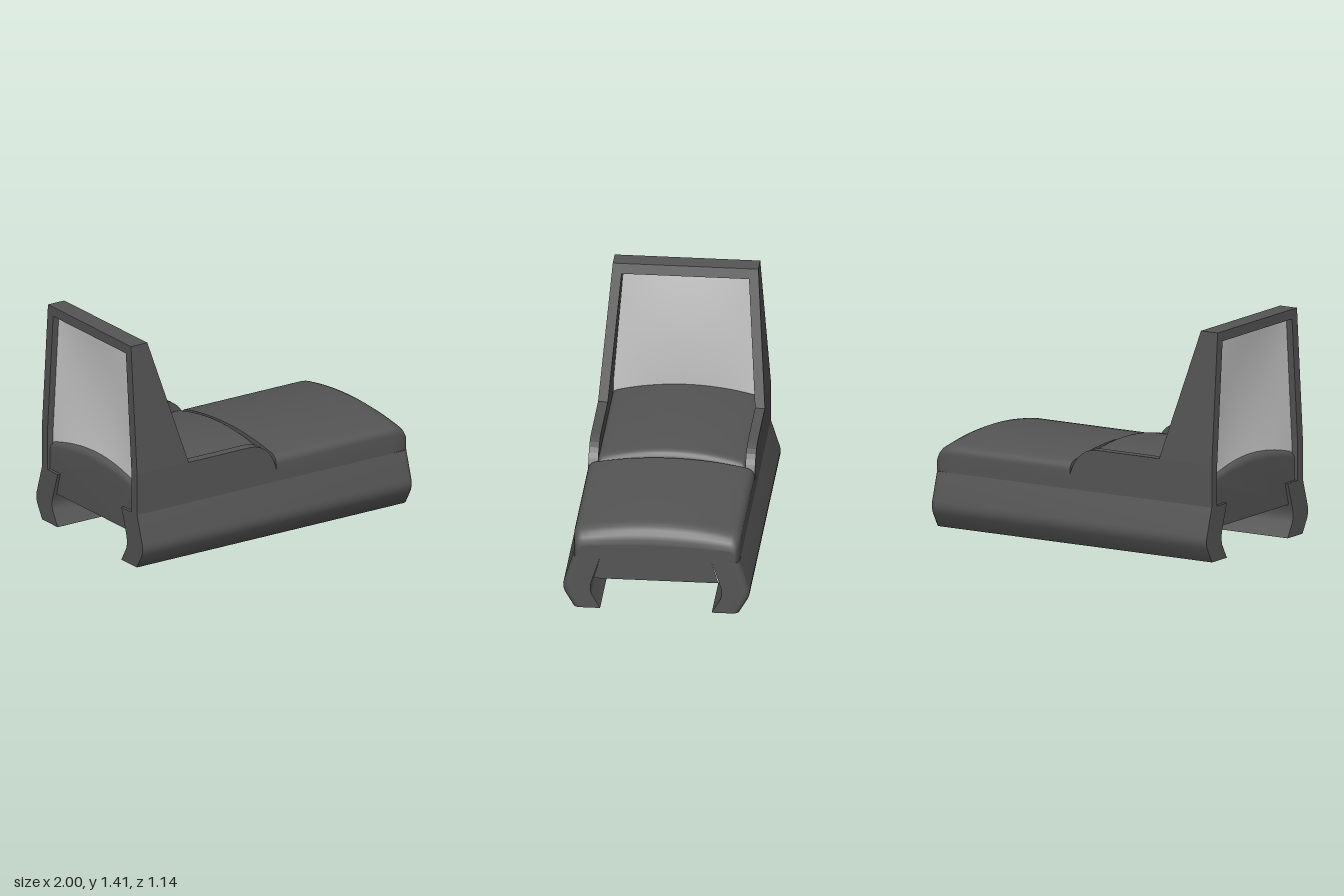
import * as THREE from 'three';
import { toCreasedNormals } from 'three/addons/utils/BufferGeometryUtils.js';

const dark = new THREE.MeshStandardMaterial({ color: 0x555555, side: THREE.DoubleSide });
const pale = new THREE.MeshStandardMaterial({ color: 0xcccccc, side: THREE.DoubleSide });

// Skin cross-sections (lists of [x, y, z]) and close the ends with flat caps
function loft(sections, closed, caps) {
  const pos = [];
  const tri = (...pts) => pts.forEach((p) => pos.push(...p));
  for (let i = 0; i + 1 < sections.length; i++) {
    const a = sections[i], b = sections[i + 1], n = a.length;
    for (let j = 0; j < (closed ? n : n - 1); j++) {
      const k = (j + 1) % n;
      tri(a[j], b[j], b[k]);
      tri(a[j], b[k], a[k]);
    }
  }
  for (const cap of caps) {
    const outline = cap.map((p) => new THREE.Vector2(p[2], p[1]));
    for (const f of THREE.ShapeUtils.triangulateShape(outline, [])) tri(...f.map((i) => cap[i]));
  }
  const g = new THREE.BufferGeometry();
  g.setAttribute('position', new THREE.Float32BufferAttribute(pos, 3));
  return toCreasedNormals(g, 0.6);
}

// Arched cushion outline from one lower edge over the top to the other
function arch(halfWidth, shoulder, crown, radius) {
  const right = [[0.34, halfWidth]];
  for (let i = 0; i <= 5; i++) {
    const a = (i / 5) * 1.3;
    right.push([shoulder - radius + radius * Math.sin(a), halfWidth - radius + radius * Math.cos(a)]);
  }
  const [y0, z0] = right[right.length - 1];
  for (let i = 1; i <= 8; i++) {
    const z = z0 * (1 - i / 8);
    right.push([crown - (crown - y0) * (z / z0) ** 2, z]);
  }
  return [...right, ...right.slice(0, -1).reverse().map(([y, z]) => [y, -z])];
}

// Place an outline at x, lowered by drop and narrowed by inset
const place = (outline, x, drop, inset, crown, halfWidth) => outline.map(([y, z]) => [
  x, 0.34 + (y - 0.34) * (1 - drop / (crown - 0.34)), z * (1 - inset / halfWidth)]);

const skirt = (s, x) => [...s, [x, 0.34, -0.34], [x, 0.2, -0.38], [x, 0.2, 0.38], [x, 0.34, 0.34]];

export function createModel() {
  const model = new THREE.Group();
  const add = (name, geometry, material = dark) => {
    const mesh = new THREE.Mesh(geometry, material);
    mesh.name = name;
    model.add(mesh);
    return mesh;
  };
  const steps = [0, 1, 2, 3, 4, 5, 6].map((i) => (i / 6) * Math.PI / 2);

  // Front cushion with rounded end and closing wall
  const hoodLine = arch(0.508, 0.51, 0.555, 0.06);
  const hood = [place(hoodLine, 0.025, 0, 0, 0.555, 0.508)];
  for (const a of steps) {
    hood.push(place(hoodLine, 0.88 + 0.12 * Math.sin(a), 0.12 * (1 - Math.cos(a)),
      0.03 * (1 - Math.cos(a)), 0.555, 0.508));
  }
  add('frontCushion', loft(hood, false, [hood[0], skirt(hood[hood.length - 1], 1)]));

  // Rear cushion between the side walls, rounded at both ends
  const seatLine = arch(0.452, 0.53, 0.585, 0.04);
  const seat = [];
  for (const a of [...steps].reverse()) {
    seat.push(place(seatLine, -0.93 - 0.05 * Math.sin(a), 0.05 * (1 - Math.cos(a)), 0, 0.585, 0.452));
  }
  for (const a of steps) {
    seat.push(place(seatLine, -0.06 + 0.06 * Math.sin(a), 0.06 * (1 - Math.cos(a)), 0, 0.585, 0.452));
  }
  add('rearCushion', loft(seat, false, [skirt(seat[0], -0.98), seat[seat.length - 1]]));

  // Tall back frame: lower walls, leaning posts and top bar
  const lower = new THREE.Shape();
  lower.moveTo(-1, 0.34);
  lower.lineTo(0.025, 0.34);
  lower.lineTo(0.025, 0.42);
  lower.bezierCurveTo(0.01, 0.5, -0.05, 0.6, -0.17, 0.6);
  lower.lineTo(-1, 0.6);
  const post = new THREE.Shape([[-1, 0.6], [-0.62, 0.6], [-0.88, 1.41], [-1, 1.41]]
    .map((p) => new THREE.Vector2(...p)));
  const options = { depth: 0.06, bevelEnabled: false, curveSegments: 8 };

  // Side rail outline as [y, z, 1 if outer]
  const rail = [[0, 0.34, 0], [0, 0.505, 1], [0.09, 0.558, 1], [0.115, 0.566, 1], [0.14, 0.568, 1],
    [0.165, 0.563, 1], [0.34, 0.508, 1], [0.34, 0.34, 0], [0.18, 0.392, 0], [0.15, 0.399, 0],
    [0.12, 0.4, 0], [0.09, 0.392, 0]];

  for (const side of [1, -1]) {
    const label = side > 0 ? 'Near' : 'Far';
    const wall = new THREE.ExtrudeGeometry(lower, options);
    wall.translate(0, 0, 0.448).scale(1, 1, side);
    const upright = new THREE.ExtrudeGeometry(post, options);
    upright.translate(0, 0, 0.448);
    const p = upright.attributes.position;
    for (let i = 0; i < p.count; i++) p.setZ(i, p.getZ(i) - (p.getY(i) - 0.6) * 0.08);
    upright.scale(1, 1, side);
    for (const g of [wall, upright]) {
      // Mirroring reverses the corner order, so restore it
      if (side < 0) {
        const q = g.attributes.position;
        for (let i = 0; i < q.count; i += 3) {
          const a = new THREE.Vector3().fromBufferAttribute(q, i);
          const b = new THREE.Vector3().fromBufferAttribute(q, i + 2);
          q.setXYZ(i, b.x, b.y, b.z);
          q.setXYZ(i + 2, a.x, a.y, a.z);
        }
      }
      g.computeVertexNormals();
    }
    add('sideWall' + label, wall);
    add('backPost' + label, upright);

    const at = (x, inset) => rail.map(([y, z, outer]) => [x, y, side * (z - outer * inset)]);
    const sections = [at(-1, 0)];
    for (const a of steps) sections.push(at(0.96 + 0.04 * Math.sin(a), 0.04 * (1 - Math.cos(a))));
    add('sideRail' + label, loft(sections, true, [sections[0], sections[sections.length - 1]]));

    // Bracket under the front cushion
    add('innerBracket' + label, new THREE.BoxGeometry(0.38, 0.13, 0.06))
      .position.set(0.24, 0.275, side * 0.345);
  }

  const bar = [[-1, 1.41], [-0.88, 1.41], [-0.861, 1.35], [-1, 1.35]];
  const ends = [-1, 1].map((s) => bar.map(([x, y]) => [x, y, s * (y > 1.4 ? 0.443 : 0.4)]));
  const barGeometry = loft(ends, true, []);
  add('topBar', barGeometry);

  // Slightly bowed back panel
  const panel = new THREE.PlaneGeometry(2, 2, 16, 16);
  const q = panel.attributes.position;
  for (let i = 0; i < q.count; i++) {
    const u = q.getX(i), v = q.getY(i), y = 0.925 + v * 0.435;
    const half = 0.452 - Math.max(0, y - 0.52) * 0.08;
    q.setXYZ(i, -0.96 + 0.03 * (1 - u * u) * (1 - v * v), y, -u * half);
  }
  panel.computeVertexNormals();
  add('backPanel', panel, pale);

  return model;
}
